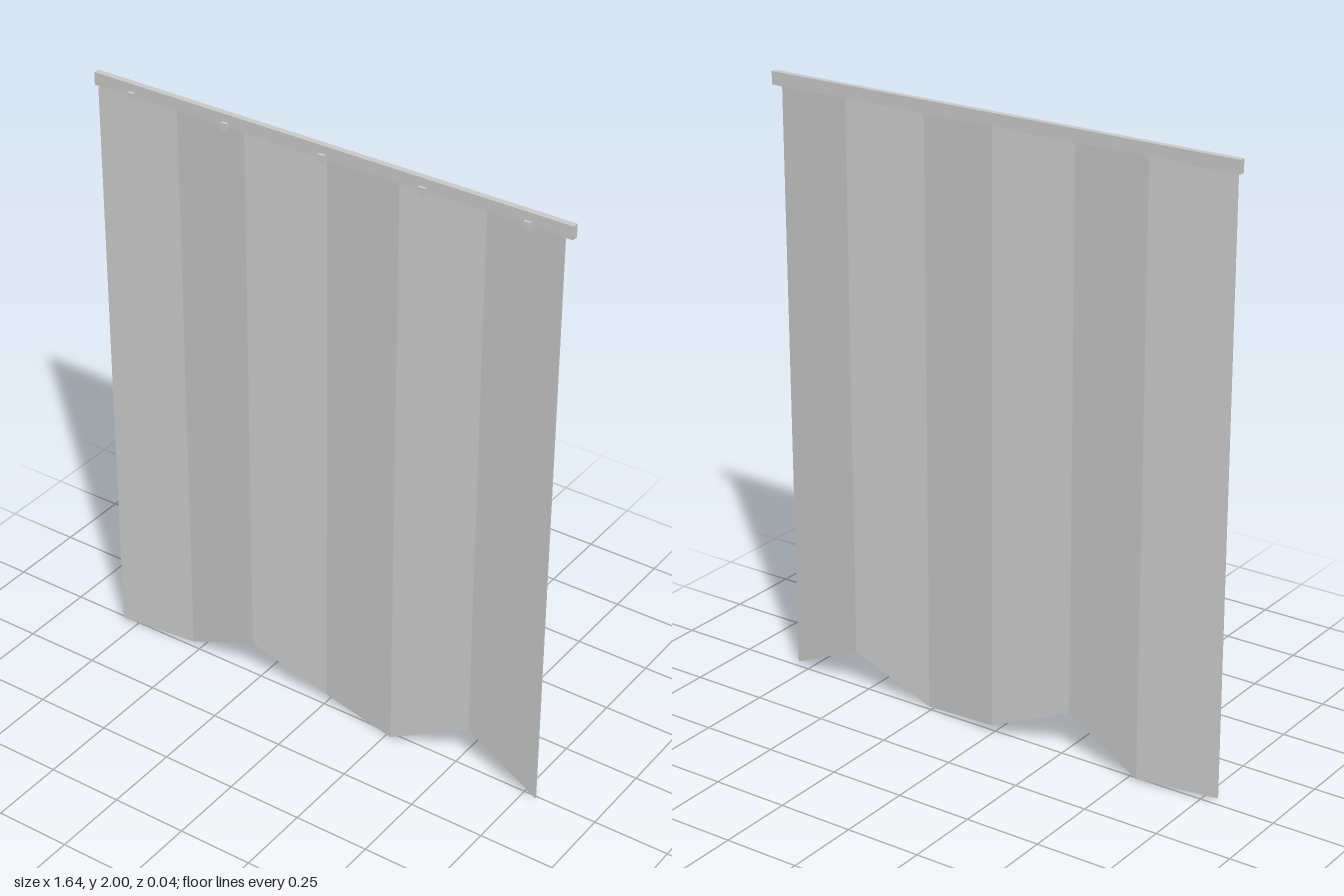
import * as THREE from 'three';

export function createModel() {
  const model = new THREE.Group();
  const grey = new THREE.MeshStandardMaterial({ color: 0xc8c8c8 });
  grey.name = 'lightGrey';

  const addBox = (name, size, position) => {
    const mesh = new THREE.Mesh(new THREE.BoxGeometry(...size), grey);
    mesh.name = name;
    mesh.position.set(...position);
    model.add(mesh);
  };

  // Rail along the top
  addBox('rail', [1.64, 0.042, 0.02], [0, 1.979, 0]);

  // Small clips along the lower edge of the rail
  for (let i = -2; i <= 2; i++) addBox('clip', [0.022, 0.024, 0.012], [i * 0.34, 1.962, 0.014]);

  // Thin pleated sheet: folds alternate front and back, with a ragged hem, open under the rail
  const hem = [0.012, 0.007, 0.137, 0.028, 0, 0.132, 0.008];
  const top = 1.963, fold = 0.016, half = 0.0025;
  const columns = hem.map((y, i) => {
    const x = -0.8 + (i * 1.6) / 6;
    const z = i % 2 ? -fold : fold;
    return {
      frontLow: [x, y, z + half], frontTop: [x, top, z + half],
      backLow: [x, y, z - half], backTop: [x, top, z - half],
    };
  });
  const positions = [];
  const quad = (a, b, c, d) => positions.push(...a, ...b, ...c, ...a, ...c, ...d);
  for (let i = 0; i < columns.length - 1; i++) {
    const l = columns[i], r = columns[i + 1];
    quad(l.frontLow, r.frontLow, r.frontTop, l.frontTop);
    quad(r.backLow, l.backLow, l.backTop, r.backTop);
    quad(l.backLow, r.backLow, r.frontLow, l.frontLow);
  }
  // Side edges
  const first = columns[0], last = columns[columns.length - 1];
  quad(first.backLow, first.frontLow, first.frontTop, first.backTop);
  quad(last.frontLow, last.backLow, last.backTop, last.frontTop);

  const geometry = new THREE.BufferGeometry();
  geometry.setAttribute('position', new THREE.Float32BufferAttribute(positions, 3));
  geometry.computeVertexNormals();
  const sheet = new THREE.Mesh(geometry, grey);
  sheet.name = 'pleatedSheet';
  model.add(sheet);

  return model;
}
